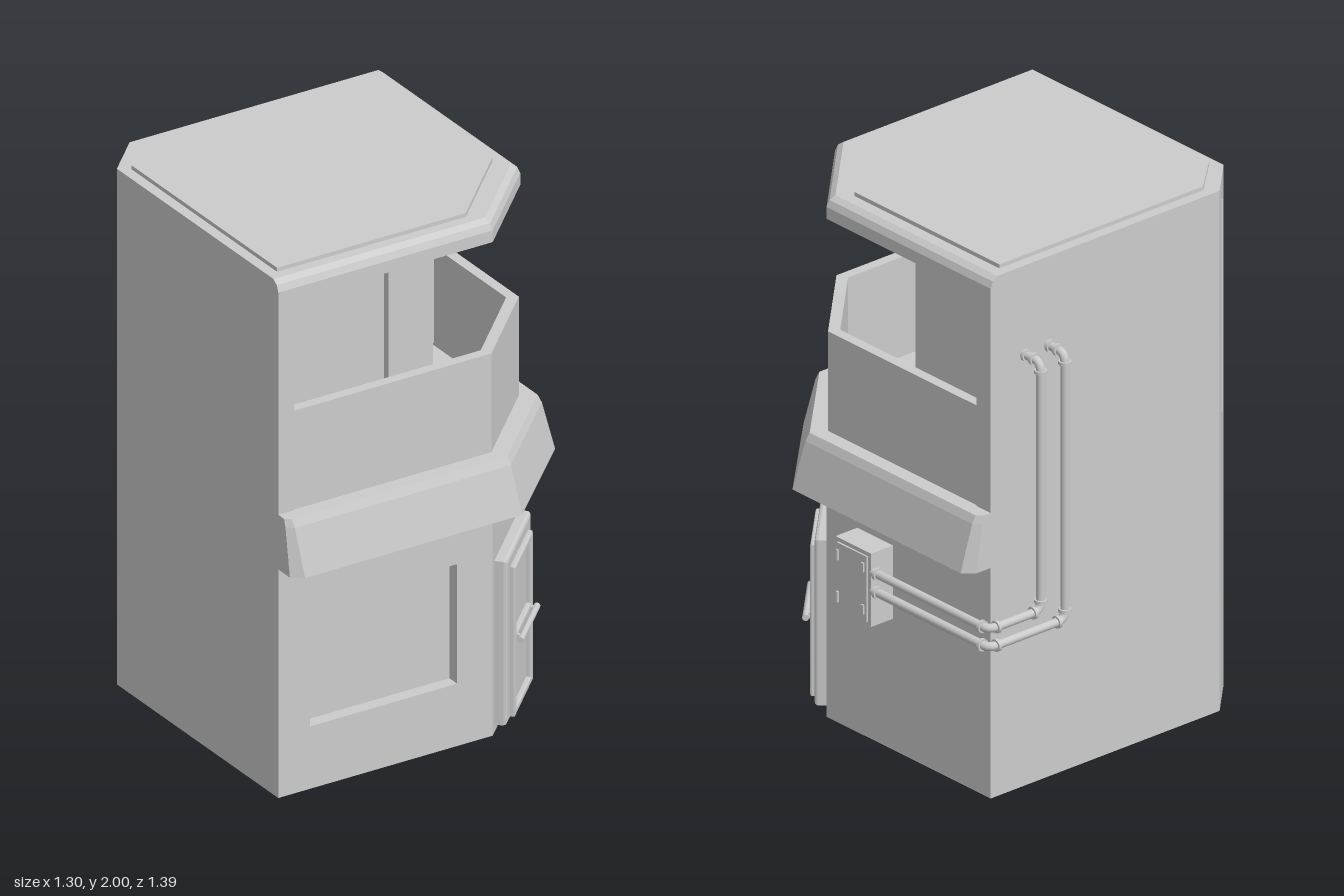
import * as THREE from 'three';

const grey = new THREE.MeshStandardMaterial({ color: 0xcccccc });

function add(parent, name, geometry, x = 0, y = 0, z = 0) {
  const mesh = new THREE.Mesh(geometry, grey);
  mesh.name = name;
  mesh.position.set(x, y, z);
  parent.add(mesh);
  return mesh;
}

// Capped solid through plan outlines: sections are [y, [[x, z], ...]], counter-clockwise from above
function loft(sections) {
  const pos = [];
  const put = (s, i) => pos.push(s[1][i][0], s[0], s[1][i][1]);
  const n = sections[0][1].length;
  for (let k = 0; k + 1 < sections.length; k++) {
    const a = sections[k], b = sections[k + 1];
    for (let i = 0; i < n; i++) {
      const j = (i + 1) % n;
      put(a, i); put(a, j); put(b, j);
      put(a, i); put(b, j); put(b, i);
    }
  }
  const cap = (s, flip) => {
    const flat = s[1].map(([x, z]) => new THREE.Vector2(x, -z));
    for (const [a, b, c] of THREE.ShapeUtils.triangulateShape(flat, [])) {
      (flip ? [c, b, a] : [a, b, c]).forEach((i) => put(s, i));
    }
  };
  cap(sections[0], true);
  cap(sections[sections.length - 1], false);
  const g = new THREE.BufferGeometry();
  g.setAttribute('position', new THREE.Float32BufferAttribute(pos, 3));
  g.computeVertexNormals();
  return g;
}
const prism = (y0, y1, pts) => loft([[y0, pts], [y1, pts]]);

// Rectangular plate with rectangular holes, each given as [x0, y0, x1, y1]
function plate([x0, y0, x1, y1], holes, depth, bevel = 0) {
  const rect = (T, a, b, c, d) => {
    const s = new T();
    s.moveTo(a, b).lineTo(c, b).lineTo(c, d).lineTo(a, d).closePath();
    return s;
  };
  const shape = rect(THREE.Shape, x0 + bevel, y0 + bevel, x1 - bevel, y1 - bevel);
  for (const [a, b, c, d] of holes) shape.holes.push(rect(THREE.Path, a - bevel, b - bevel, c + bevel, d + bevel));
  return new THREE.ExtrudeGeometry(shape, {
    depth: depth - bevel, bevelEnabled: bevel > 0, bevelSize: bevel, bevelThickness: bevel, bevelSegments: 2,
  });
}

// Building plan, its front, corner and right sides pushed out by o
const back = [[-0.51, -0.585], [-0.655, -0.44]];
const outline = (o) => [
  [-0.655, 0.585 + o], [0.22 + 0.41 * o, 0.585 + o], [0.535 + o, 0.27 + 0.41 * o], [0.535 + o, -0.585], ...back,
];
// Same plan with clipped ends, for the overhanging ledge
const ledgeOutline = (o) => [
  [-0.655, 0.585 + 0.7 * o], [-0.655 + 0.4 * o, 0.585 + o], [0.22 + 0.5 * o, 0.585 + o],
  [0.535 + o, 0.27 + 0.55 * o], [0.535 + o, -0.585 + 0.35 * o], [0.535 + 0.6 * o, -0.585], ...back,
];

// Pipe through corner points, with rounded elbows and collars beside each elbow
function pipe(parent, name, points) {
  const p = points.map((a) => new THREE.Vector3(...a));
  const path = new THREE.CurvePath();
  const group = new THREE.Group();
  group.name = name;
  parent.add(group);
  const bend = 0.035, up = new THREE.Vector3(0, 1, 0);
  const collar = (at, dir) => {
    const c = add(group, 'pipeCollar', new THREE.CylinderGeometry(0.023, 0.023, 0.012, 14), at.x, at.y, at.z);
    c.quaternion.setFromUnitVectors(up, dir);
  };
  let from = p[0];
  for (let i = 1; i < p.length; i++) {
    const dir = p[i].clone().sub(p[i - 1]).normalize();
    if (i === p.length - 1) {
      path.add(new THREE.LineCurve3(from, p[i]));
      collar(p[i].clone().addScaledVector(dir, -0.02), dir);
      break;
    }
    const next = p[i + 1].clone().sub(p[i]).normalize();
    const a = p[i].clone().addScaledVector(dir, -bend);
    const b = p[i].clone().addScaledVector(next, bend);
    path.add(new THREE.LineCurve3(from, a));
    path.add(new THREE.QuadraticBezierCurve3(a, p[i], b));
    collar(a, dir);
    collar(b, next);
    from = b;
  }
  collar(p[0].clone().add(new THREE.Vector3(0, 0, -0.025)), new THREE.Vector3(0, 0, 1));
  add(group, 'pipeRun', new THREE.TubeGeometry(path, 160, 0.016, 12, false));
}

export function createModel() {
  const model = new THREE.Group();
  model.name = 'cornerBuilding';

  // Ground floor with a recessed front window
  add(model, 'groundFloor', prism(0, 0.88, [
    [-0.655, 0.535], [0.22, 0.535], [0.22, 0.585], [0.535, 0.27], [0.535, -0.585], ...back,
  ]));
  add(model, 'frontWindowWall', plate([-0.655, 0, 0.22, 0.88], [[-0.525, 0.24, 0.075, 0.7]], 0.05), 0, 0, 0.535);

  // Overhanging ledge
  add(model, 'ledge', loft([
    [0.88, ledgeOutline(0)], [0.88, ledgeOutline(0.105)], [1.06, ledgeOutline(0.065)],
    [1.09, ledgeOutline(0.052)], [1.09, ledgeOutline(0)],
  ]));

  // Upper floor: outer walls at the left and back, parapet round the balcony
  add(model, 'upperOuterWalls', prism(1.09, 1.9, [
    [-0.655, 0.585], [-0.59, 0.585], [-0.59, -0.51], [0.535, -0.51], [0.535, -0.585], ...back,
  ]));
  add(model, 'parapet', prism(1.09, 1.47, [
    [-0.59, 0.58], [0.218, 0.58], [0.53, 0.268], [0.53, -0.51],
    [0.49, -0.51], [0.49, 0.25], [0.2, 0.54], [-0.59, 0.54],
  ]));

  // Set-back room with a notched corner doorway and windows
  add(model, 'upperRoom', prism(1.09, 1.9, [
    [-0.59, 0.33], [-0.01, 0.33], [-0.01, 0.18], [0.12, 0.05], [0.32, 0.05], [0.32, -0.51], [-0.59, -0.51],
  ]));
  add(model, 'upperFrontWall', plate([-0.59, 1.09, -0.01, 1.9], [[-0.56, 1.25, -0.06, 1.83]], 0.03), 0, 0, 0.33);
  add(model, 'upperSideWindow', new THREE.BoxGeometry(0.01, 0.62, 0.55), 0.325, 1.56, -0.235);
  add(model, 'doorwayHeader', prism(1.83, 1.9, [[-0.01, 0.36], [0.33, 0.05], [0.12, 0.05], [-0.01, 0.18]]));

  // Roof with a bevelled rim and a thin raised deck
  add(model, 'roof', loft([
    [1.9, outline(0)], [1.945, outline(0)], [1.97, outline(-0.01)], [1.985, outline(-0.03)],
  ]));
  add(model, 'roofDeck', prism(1.985, 2, [
    [-0.615, 0.515], [0.155, 0.515], [0.46, 0.21], [0.46, -0.545], [-0.47, -0.545], [-0.615, -0.41],
  ]));

  // Corner entrance: surround, two-panel door and push bar
  const door = new THREE.Group();
  door.name = 'cornerDoor';
  door.position.set(0.3775, 0, 0.4275);
  door.rotation.y = Math.PI / 4;
  model.add(door);
  add(door, 'doorSurround', plate([-0.198, 0.03, 0.198, 0.66], [[-0.14, 0.05, 0.14, 0.61]], 0.044, 0.012));
  add(door, 'doorFrame', plate([-0.145, 0.04, 0.145, 0.615],
    [[-0.115, 0.065, 0.115, 0.315], [-0.115, 0.35, 0.115, 0.59]], 0.062, 0.006));
  const bar = add(door, 'pushBar', new THREE.CylinderGeometry(0.012, 0.012, 0.27, 12), 0, 0.332, 0.078);
  bar.rotation.z = Math.PI / 2;
  for (const x of [-0.11, 0.11]) {
    add(door, 'barBracket', new THREE.BoxGeometry(0.015, 0.02, 0.03), x, 0.332, 0.065);
  }

  // Utility box on the right wall
  const box = new THREE.Group();
  box.name = 'utilityBox';
  box.position.set(0.535, 0.64, 0.017);
  model.add(box);
  add(box, 'boxBody', new THREE.BoxGeometry(0.1, 0.28, 0.185), 0.05, 0, 0);
  add(box, 'boxLid', new THREE.BoxGeometry(0.008, 0.25, 0.155), 0.103, 0, 0);
  for (const y of [-0.08, 0.08]) {
    add(box, 'boxHinge', new THREE.CylinderGeometry(0.006, 0.006, 0.04, 10), 0.108, y, 0.072);
    add(box, 'boxLatch', new THREE.BoxGeometry(0.01, 0.035, 0.012), 0.108, y, -0.06);
  }

  // Twin pipes from the box, round the back corner and up into the back wall
  for (const [y, x] of [[0.705, 0.385], [0.635, 0.275]]) {
    pipe(model, 'pipe', [
      [0.622, y, -0.07], [0.622, y, -0.675], [x, y, -0.675], [x, 1.65, -0.675], [x, 1.65, -0.58],
    ]);
  }
  return model;
}
